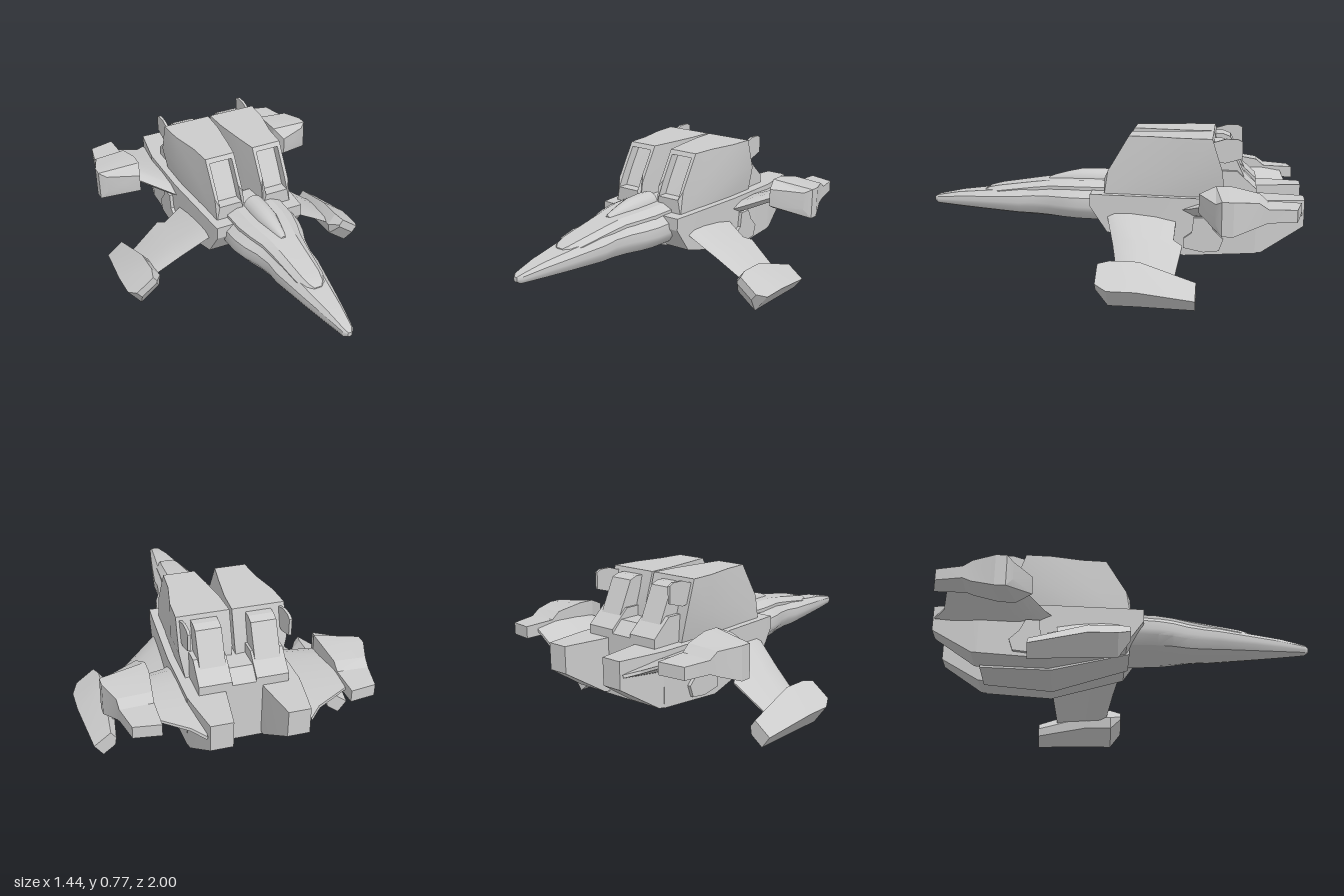
import * as THREE from 'three';
import { toCreasedNormals } from 'three/addons/utils/BufferGeometryUtils.js';

const mat = new THREE.MeshStandardMaterial({ color: 0xcccccc });

// Closed skin over a list of rings ([x,y,z] points), capped at both ends and always facing outwards.
function loft(rings, crease = 0.3) {
  const tris = [], n = rings[0].length;
  for (let i = 0; i + 1 < rings.length; i++) for (let j = 0; j < n; j++) {
    const k = (j + 1) % n, a = rings[i], b = rings[i + 1];
    tris.push([a[j], a[k], b[k]], [a[j], b[k], b[j]]);
  }
  const cap = (r, flip) => {
    const c = [0, 1, 2].map(d => r.reduce((s, p) => s + p[d], 0) / n);
    r.forEach((p, j) => tris.push(flip ? [c, r[(j + 1) % n], p] : [c, p, r[(j + 1) % n]]));
  };
  cap(rings[0], true);
  cap(rings[rings.length - 1], false);
  let vol = 0;
  const v = p => new THREE.Vector3(...p);
  for (const [a, b, c] of tris) vol += v(a).dot(v(b).cross(v(c)));
  if (vol < 0) tris.forEach(t => t.reverse());
  const g = new THREE.BufferGeometry();
  g.setAttribute('position', new THREE.Float32BufferAttribute(tris.flat(2), 3));
  g.computeVertexNormals();
  return toCreasedNormals(g, crease);
}

// Rectangular ring facing along z
const rect = (x0, x1, y0, y1, z) => [[x0, y0, z], [x1, y0, z], [x1, y1, z], [x0, y1, z]];

// Side outline of [z, y] points, given thickness between two x values
const plate = (pts, x0, x1) => [x0, x1].map(x => pts.map(([z, y]) => [x, y, z]));

// Thin tapered aerofoil; knots are [x, y, zFront, zBack, thickness], (nx, ny) is its up direction
const wing = (knots, nx, ny) => knots.map(([x, y, zf, zb, t]) =>
  [[0, 0], [0.12, 0.4], [0.35, 0.5], [0.7, 0.4], [1, 0.1], [1, -0.1], [0.7, -0.4], [0.35, -0.5], [0.12, -0.4]]
    .map(([s, h]) => [x + nx * h * t, y + ny * h * t, zf + (zb - zf) * s]));

export function createModel() {
  const model = new THREE.Group();
  const add = (name, rings, crease) => {
    const m = new THREE.Mesh(loft(rings, crease), mat);
    m.name = name;
    model.add(m);
  };
  const pair = (name, rings, crease) => {
    add(name + 'Left', rings, crease);
    add(name + 'Right', rings.map(r => r.map(([x, y, z]) => [-x, y, z])), crease);
  };

  // Nose: z, half width, bottom, widest height, top
  const nose = [
    [1, 0.012, 0.348, 0.36, 0.375], [0.98, 0.03, 0.335, 0.36, 0.387], [0.85, 0.058, 0.325, 0.365, 0.412],
    [0.7, 0.087, 0.315, 0.37, 0.428], [0.5, 0.123, 0.303, 0.375, 0.452], [0.42, 0.125, 0.3, 0.38, 0.462],
    [0.33, 0.145, 0.297, 0.38, 0.472], [0.25, 0.178, 0.294, 0.38, 0.48], [0.17, 0.197, 0.291, 0.38, 0.485],
    [0.08, 0.202, 0.29, 0.38, 0.49], [-0.15, 0.202, 0.285, 0.38, 0.49]];
  add('nose', nose.map(([z, w, b, m, t]) => {
    const half = [[0.4, b], [0.75, b + (m - b) * 0.2], [0.96, m - (m - b) * 0.3], [1, m], [0.97, m + (t - m) * 0.45], [0.66, t - 0.004]];
    return [...half, ...half.map(([x, y]) => [-x, y]).reverse()].map(([x, y]) => [x * w, y, z]);
  }), 0.5);

  // Raised cockpit deck: z, half width, top
  const deck = [[0.705, 0.03, 0.428], [0.68, 0.058, 0.44], [0.62, 0.076, 0.454], [0.42, 0.097, 0.483],
    [0.33, 0.11, 0.495], [0.25, 0.135, 0.501], [0.15, 0.155, 0.505], [-0.12, 0.16, 0.507]];
  add('cockpitDeck', deck.map(([z, w, t]) => [[-w, t - 0.07, z], [w, t - 0.07, z], [w, t - 0.025, z],
    [w * 0.65, t, z], [-w * 0.65, t, z], [-w, t - 0.025, z]]));

  // Rounded canopy spine: z, radius, centre height
  const spine = [[0.35, 0.015, 0.485], [0.32, 0.024, 0.489], [0.24, 0.042, 0.493], [0.17, 0.056, 0.494], [0.08, 0.06, 0.494],
    [0.01, 0.058, 0.494], [-0.02, 0.03, 0.494]];
  add('canopySpine', spine.map(([z, r, y]) => Array.from({ length: 16 }, (_, i) =>
    [r * Math.cos(i * Math.PI / 8), y + r * Math.sin(i * Math.PI / 8), z])), 0.7);

  // Main hull, belly keel and rear booms
  add('hull', [rect(-0.25, 0.25, 0.4, 0.465, 0.09), rect(-0.257, 0.257, 0.27, 0.465, 0.0),
    rect(-0.28, 0.28, 0.165, 0.465, -0.4), rect(-0.28, 0.28, 0.19, 0.465, -0.76)]);
  add('keel', [rect(-0.11, 0.11, 0.27, 0.34, 0.02), rect(-0.15, 0.15, 0.155, 0.3, -0.39),
    rect(-0.12, 0.12, 0.178, 0.3, -0.76)]);
  pair('boom', [rect(0.09, 0.28, 0.19, 0.465, -0.74), rect(0.095, 0.275, 0.195, 0.465, -0.79),
    rect(0.13, 0.24, 0.33, 0.465, -1)]);

  // Side panels on the hull flanks
  pair('flankPanel', plate([[-0.4, 0.21], [-0.4, 0.26], [-0.44, 0.29], [-0.45, 0.37], [-0.52, 0.37],
    [-0.55, 0.31], [-0.6, 0.26], [-0.58, 0.2], [-0.5, 0.19]], 0.27, 0.298));

  // Intake housings: recessed mouth, sloped lip, flared body
  const faceZ = y => 0.02 - Math.max(0, y - 0.55) * 0.59;
  const mouth = (x0, x1, ys, dz) => [[x0, ys[0]], [x1, ys[0]], [x1, ys[1]], [x1, ys[2]], [x0, ys[2]], [x0, ys[1]]]
    .map(([x, y]) => [x, y, faceZ(y) + dz]);
  pair('intake', [
    mouth(0.073, 0.2, [0.54, 0.62, 0.745], -0.06),
    mouth(0.073, 0.2, [0.54, 0.62, 0.745], 0),
    mouth(0.055, 0.218, [0.45, 0.585, 0.768], 0),
    [[0.04, 0.45, -0.15], [0.225, 0.45, -0.15], [0.228, 0.585, -0.17], [0.228, 0.768, -0.24], [0.034, 0.768, -0.24], [0.04, 0.585, -0.17]],
    [[0.02, 0.45, -0.4], [0.24, 0.45, -0.4], [0.262, 0.59, -0.4], [0.262, 0.768, -0.4], [0.012, 0.768, -0.4], [0.012, 0.59, -0.4]],
    [[0.02, 0.45, -0.6], [0.24, 0.45, -0.6], [0.27, 0.6, -0.59], [0.27, 0.768, -0.535], [0.006, 0.768, -0.535], [0.006, 0.6, -0.59]],
  ]);

  // Exhausts with sloped panels, the block they sit on, and small tail fins
  add('exhaustBase', plate([[-0.5, 0.35], [-0.5, 0.55], [-0.7, 0.55], [-0.76, 0.49], [-0.76, 0.35]], -0.06, 0.06));
  pair('exhaustFoot', plate([[-0.5, 0.35], [-0.5, 0.6], [-0.66, 0.6], [-0.76, 0.51], [-0.76, 0.35]], 0.06, 0.222));
  pair('exhaust', plate([[-0.5, 0.5], [-0.5, 0.745], [-0.58, 0.745], [-0.62, 0.73], [-0.705, 0.55], [-0.7, 0.5]], 0.072, 0.2));
  pair('tailFin', plate([[-0.5, 0.74], [-0.56, 0.755], [-0.6, 0.768], [-0.66, 0.768], [-0.685, 0.755],
    [-0.685, 0.67], [-0.6, 0.645], [-0.5, 0.66]], 0.24, 0.254));

  // Upper rear wings
  pair('upperWing', wing([[0.25, 0.395, -0.36, -0.99, 0.075], [0.31, 0.415, -0.42, -0.935, 0.07],
    [0.47, 0.48, -0.55, -0.9, 0.055]], -0.35, 0.93), 0.5);

  // Upper pods; x0, x1, y0, y1, inner z, outer z, outer drop
  pair('upperPod', [
    [0.455, 0.62, 0.435, 0.53, -0.48, -0.565, 0.01], [0.428, 0.655, 0.4, 0.565, -0.56, -0.595, 0.026],
    [0.428, 0.655, 0.4, 0.565, -0.64, -0.65, 0.026], [0.445, 0.612, 0.425, 0.54, -0.77, -0.765, 0.01],
    [0.447, 0.608, 0.44, 0.505, -0.81, -0.81, 0.005], [0.45, 0.58, 0.44, 0.5, -0.97, -0.945, 0.005],
  ].map(([x0, x1, y0, y1, zi, zo, d]) => [[x0, y0, zi], [x1, y0 - d, zo], [x1, y1 - d, zo], [x0, y1, zi]]));

  // Lower wings
  pair('lowerWing', wing([[0.23, 0.37, 0.005, -0.36, 0.045], [0.37, 0.268, -0.04, -0.355, 0.04],
    [0.4, 0.247, -0.05, -0.4, 0.04], [0.57, 0.125, -0.095, -0.372, 0.035]], 0.58, 0.81), 0.5);

  // Lower pods, tilted in line with the wing; u0, u1, v0, v1, z
  pair('lowerPod', [
    [-0.07, 0.05, 0.015, 0.06, 0, 0.01], [-0.09, 0.09, -0.06, 0.06, -0.06, 0.045], [-0.09, 0.09, -0.06, 0.06, -0.2, 0.045],
    [-0.02, 0.09, -0.07, 0.005, -0.48, 0.03],
  ].map(([u0, u1, v0, v1, z, c]) => [[u0, v1], [u1, v1], [u1, v0], [u0 + c, v0], [u0, v0 + c]]
    .map(([u, v]) => [0.61 + 0.8 * u + 0.6 * v, 0.11 - 0.6 * u + 0.8 * v, z])));

  return model;
}
